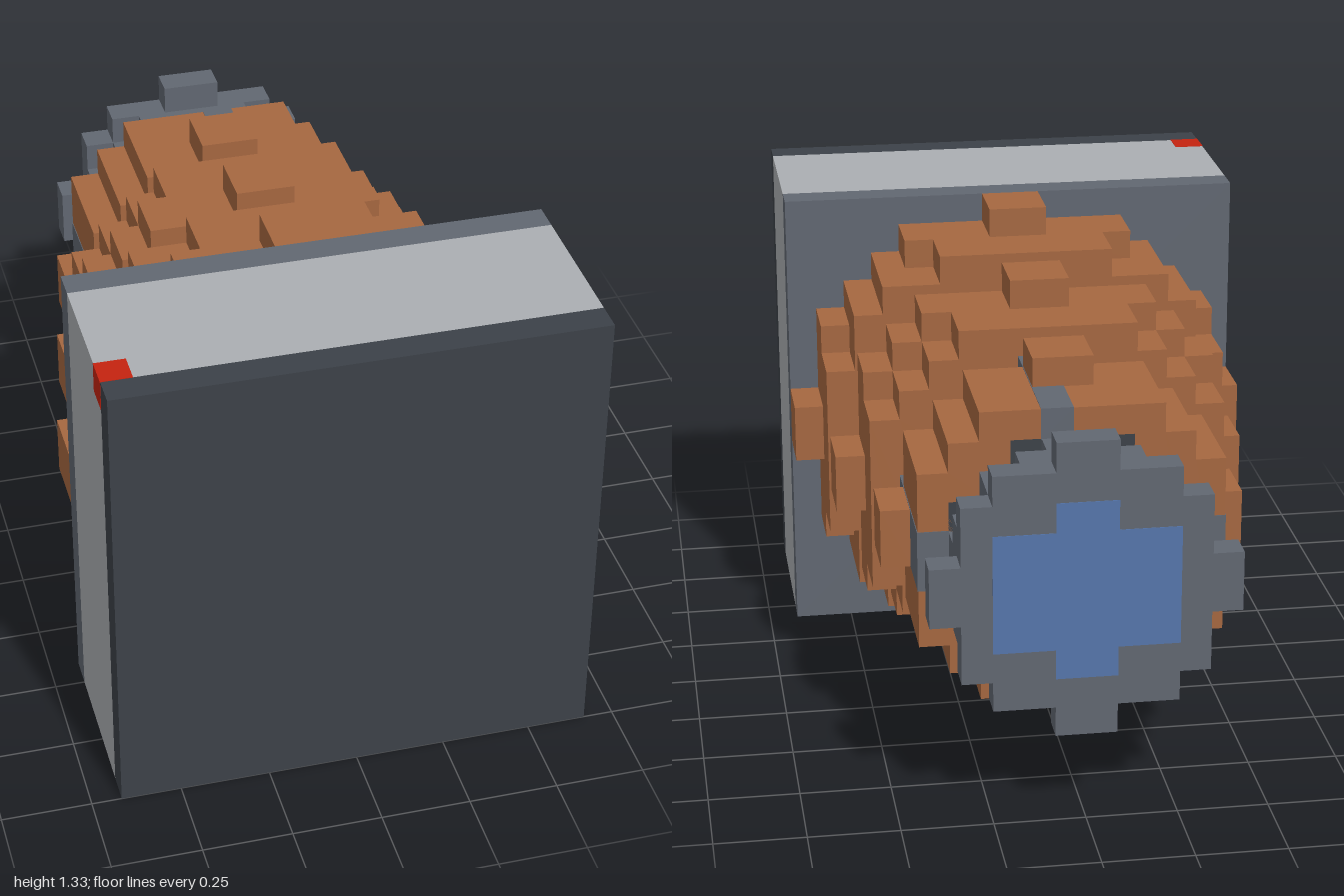
import * as THREE from 'three';

const V = 1 / 12; // size of one block
const MID = 8 * V; // height of the long axis

export function createModel() {
  const model = new THREE.Group();
  model.name = 'coiledDevice';

  const paint = (name, color) => {
    const m = new THREE.MeshStandardMaterial({ color });
    m.name = name;
    return m;
  };
  const dark = paint('darkGrey', 0x3c4148);
  const steel = paint('steelGrey', 0x616771);
  const light = paint('lightGrey', 0xabaeb2);
  const copper = paint('copper', 0xa56740);
  const blue = paint('blue', 0x5575ab);
  const red = paint('red', 0xc42310);

  // Box given by block limits: x and y from the axis, z in layers from the front
  function block(name, mat, x0, x1, y0, y1, l0, l1, grow = 0) {
    const g = new THREE.BoxGeometry(
      (x1 - x0) * V + 2 * grow, (y1 - y0) * V + 2 * grow, (l1 - l0) * V + 2 * grow);
    const mesh = new THREE.Mesh(g, mat);
    mesh.position.set(((x0 + x1) / 2) * V, MID + ((y0 + y1) / 2) * V, 1 - ((l0 + l1) / 2) * V);
    mesh.name = name;
    model.add(mesh);
  }

  // Stepped disc: heights[i] is the half height of the column i blocks from the axis
  function disc(name, mat, heights, l0, l1) {
    const q = [];
    heights.forEach((h, i) => {
      if (i > 0 && heights[i - 1] !== h) q.push([i, h]);
      if (heights[i + 1] !== h) q.push([i + 1, h]);
    });
    const back = [...q].reverse();
    const outline = [
      ...q,
      ...back.map(([x, y]) => [x, -y]),
      ...q.map(([x, y]) => [-x, -y]),
      ...back.map(([x, y]) => [-x, y]),
    ].map(([x, y]) => new THREE.Vector2(x * V, y * V));
    const g = new THREE.ExtrudeGeometry(new THREE.Shape(outline), {
      depth: (l1 - l0) * V, bevelEnabled: false,
    });
    const mesh = new THREE.Mesh(g, mat);
    mesh.position.set(0, MID, 1 - l1 * V);
    mesh.name = name;
    model.add(mesh);
  }

  // Square head in three bands, with a small marker in one corner
  block('facePlate', dark, -8, 8, -8, 8, 0, 1);
  block('headBody', light, -8, 8, -8, 8, 1, 6);
  block('backPlate', steel, -8, 8, -8, 8, 6, 7);
  block('cornerMarker', red, -8, -7, 7, 8, 1, 2, 0.001);

  // Core seen in the gaps between the coils
  disc('core', dark, [4, 4, 3, 2], 7, 21);

  // Tapering coils, each a wide studded ring and a narrower one
  const coils = [
    [7, [8, 7, 7, 7, 6, 5, 4, 1], [7, 7, 7, 6, 6, 5, 3]],
    [12, [7, 6, 6, 6, 5, 4, 1], [6, 6, 6, 5, 4, 3]],
    [17, [6, 5, 5, 4, 3, 1], [5, 5, 5, 4, 3]],
  ];
  for (const [layer, wide, narrow] of coils) {
    disc('coilWide', copper, wide, layer, layer + 2);
    disc('coilNarrow', copper, narrow, layer + 2, layer + 4);
  }

  // Rails along the core, flush with the last ring
  for (const s of [-5, 4]) {
    block('sideRail', steel, s, s + 1, -1, 1, 10, 21, 0.002);
    block('verticalRail', steel, 0, 1, s, s + 1, 10, 21, 0.002);
  }

  // Rear neck, flange and lens
  disc('neck', steel, [4, 3, 3, 1], 21, 22);
  disc('neckRing', steel, [4, 4, 3, 2], 22, 23);
  disc('flange', steel, [5, 4, 4, 3, 1], 23, 24);
  disc('lens', blue, [3, 2, 2], 23.98, 24.02);

  return model;
}
